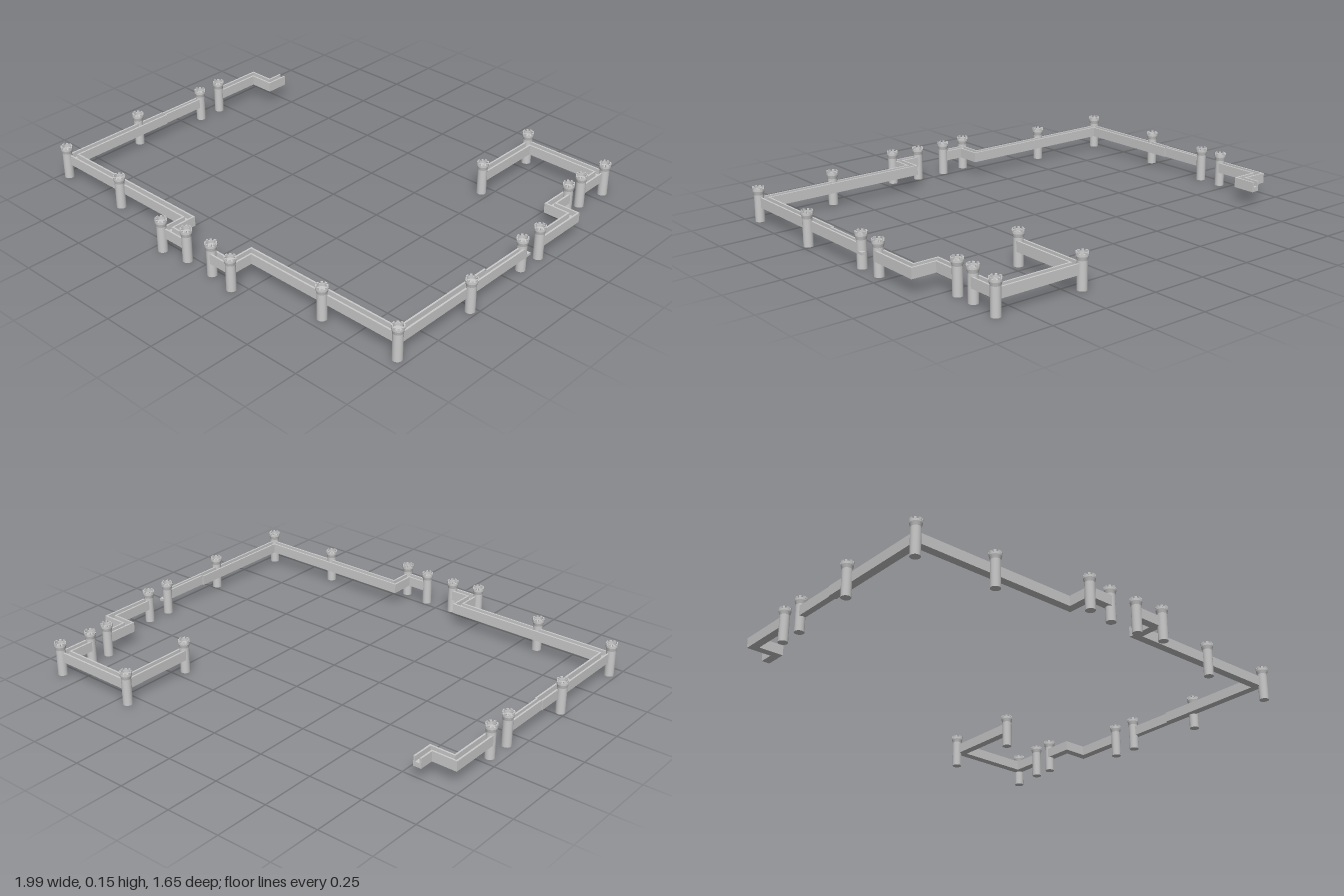
import * as THREE from 'three';

const material = new THREE.MeshStandardMaterial({ color: 0xcccccc, side: THREE.DoubleSide });
const flatMaterial = new THREE.MeshStandardMaterial({ color: 0xcccccc, side: THREE.DoubleSide, flatShading: true });

// Plan path shifted sideways by d, with mitred corners
function offsetPath(path, d) {
  const normals = path.slice(1).map(([x, z], i) => {
    const dx = x - path[i][0], dz = z - path[i][1], l = Math.hypot(dx, dz);
    return [-dz / l, dx / l];
  });
  return path.map(([x, z], i) => {
    const a = normals[Math.max(i - 1, 0)], b = normals[Math.min(i, normals.length - 1)];
    const k = d / (1 + a[0] * b[0] + a[1] * b[1]);
    return [x + (a[0] + b[0]) * k, z + (a[1] + b[1]) * k];
  });
}

// Upright strip between two sideways offsets of a path
function band(name, path, d0, d1, y0, y1) {
  const outline = [...offsetPath(path, d0), ...offsetPath(path, d1).reverse()];
  const shape = new THREE.Shape(outline.map(([x, z]) => new THREE.Vector2(x, -z)));
  const geo = new THREE.ExtrudeGeometry(shape, { depth: y1 - y0, bevelEnabled: false });
  geo.rotateX(-Math.PI / 2);
  geo.translate(0, y0, 0);
  const mesh = new THREE.Mesh(geo, flatMaterial);
  mesh.name = name;
  return mesh;
}

// Raised wall: walkway floor with a parapet on each side
function wall(name, path, half = 0.0185) {
  const g = new THREE.Group();
  g.name = name;
  const t = 0.008;
  g.add(
    band('walkway', path, -half + t, half - t, 0.064, 0.085),
    band('parapetA', path, -half, -half + t, 0.064, 0.109),
    band('parapetB', path, half - t, half, 0.064, 0.109)
  );
  return g;
}

// Round tower: shaft, flared head with sunken top, ring of merlons
function tower(x, z) {
  const g = new THREE.Group();
  g.name = 'tower';
  g.position.set(x, 0, z);
  const shaft = new THREE.Mesh(new THREE.CylinderGeometry(0.021, 0.021, 0.122, 24), material);
  shaft.position.y = 0.061;
  shaft.name = 'towerShaft';
  const profile = [[0.021, 0.12], [0.0255, 0.136], [0.0255, 0.136], [0.0255, 0.146], [0.0255, 0.146],
    [0.02, 0.146], [0.02, 0.146], [0.02, 0.135], [0.02, 0.135], [0, 0.135]];
  const head = new THREE.Mesh(
    new THREE.LatheGeometry(profile.map(p => new THREE.Vector2(...p)), 24), flatMaterial);
  head.name = 'towerHead';
  g.add(shaft, head);
  for (let i = 0; i < 8; i++) {
    const a = (i / 8) * Math.PI * 2;
    const merlon = new THREE.Mesh(new THREE.BoxGeometry(0.01, 0.009, 0.0055), flatMaterial);
    merlon.position.set(Math.sin(a) * 0.0225, 0.149, Math.cos(a) * 0.0225);
    merlon.rotation.y = a;
    merlon.name = 'merlon';
    g.add(merlon);
  }
  return g;
}

export function createModel() {
  const model = new THREE.Group();
  model.name = 'castleWalls';

  // Wall runs in plan, as x and z
  const runs = {
    frontLeftWall: [[0.945, 0.14], [0.945, 0.667], [0.181, 0.667], [0.181, 0.778], [0.07, 0.778]],
    frontRightWall: [[-0.948, 0.14], [-0.948, 0.667], [-0.188, 0.667], [-0.188, 0.778], [-0.077, 0.778]],
    backRightWall: [[-0.948, -0.203], [-0.948, -0.436], [-0.834, -0.436], [-0.834, -0.523]],
    backLeftWall: [[0.945, -0.203], [0.945, -0.433], [0.833, -0.433], [0.833, -0.56]],
    backCourtWall: [[0.46, -0.455], [0.46, -0.793], [0.833, -0.793], [0.833, -0.655]],
  };
  for (const [name, path] of Object.entries(runs)) model.add(wall(name, path));

  // Slimmer stretches beside the side gates
  model.add(wall('slimLeftWall', [[0.949, -0.085], [0.949, 0.14]], 0.014));
  model.add(wall('slimRightWall', [[-0.949, -0.085], [-0.949, 0.14]], 0.014));

  // Small ledge at the left side gate
  const ledge = new THREE.Mesh(new THREE.BoxGeometry(0.018, 0.012, 0.035), flatMaterial);
  ledge.position.set(0.954, 0.07, -0.098);
  ledge.name = 'gateLedge';
  model.add(ledge);

  // Towers of the main enclosure, in left and right pairs
  const pairs = [[0.945, -0.203], [0.945, -0.085], [0.972, 0.273], [0.963, 0.687],
    [0.593, 0.694], [0.203, 0.797], [0.073, 0.778]];
  for (const [x, z] of pairs) model.add(tower(x - 0.003, z), tower(-x - 0.003, z));

  // Towers of the back court
  const court = [[0.442, -0.806], [0.85, -0.806], [0.833, -0.653], [0.833, -0.558], [0.46, -0.453]];
  for (const [x, z] of court) model.add(tower(x, z));

  return model;
}
